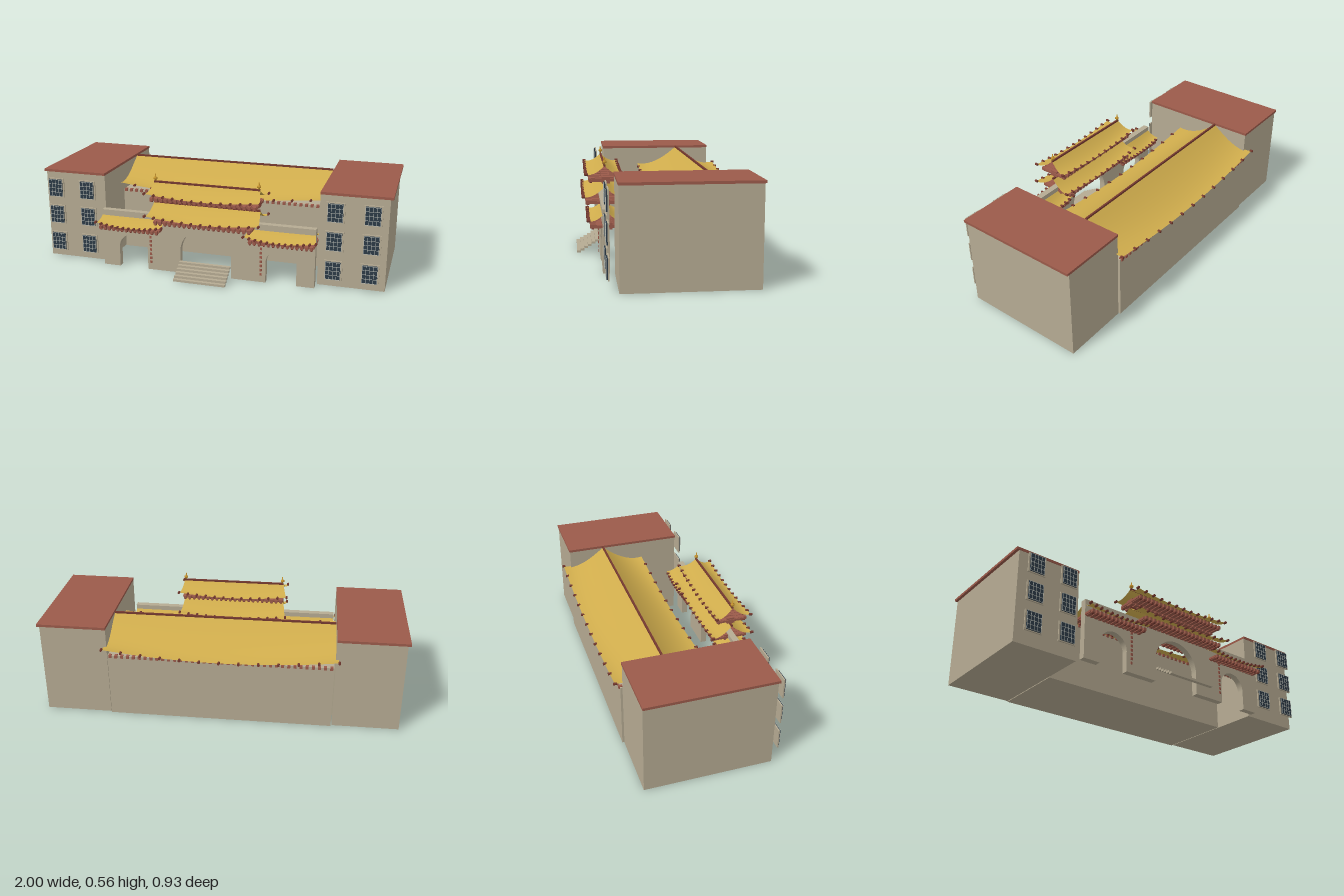
import * as THREE from 'three';

const mat = (color, side = THREE.FrontSide) => {
  const m = new THREE.MeshStandardMaterial({ color });
  m.side = side;
  return m;
};
const STONE = mat(0xb5aa92), BRICK = mat(0x9b5a4a), DARKRED = mat(0x74392f);
const GOLD = mat(0xcfac4c, THREE.DoubleSide), GILT = mat(0xc9962f);
const GLASS = mat(0x2c3a46), BAR = mat(0xb9bcb4);

function add(parent, name, geometry, material, x = 0, y = 0, z = 0) {
  const m = new THREE.Mesh(geometry, material);
  m.name = name;
  m.position.set(x, y, z);
  parent.add(m);
  return m;
}

// box given by its min and max corners
function box(parent, name, material, x0, x1, y0, y1, z0, z1) {
  return add(parent, name, new THREE.BoxGeometry(x1 - x0, y1 - y0, z1 - z0), material,
    (x0 + x1) / 2, (y0 + y1) / 2, (z0 + z1) / 2);
}

function group(parent, name, x = 0, y = 0, z = 0) {
  const g = new THREE.Group();
  g.name = name;
  g.position.set(x, y, z);
  parent.add(g);
  return g;
}

// sweeping gable roof around a ridge at the group's origin
function curvedRoof(parent, name, o) {
  const g = group(parent, name, o.x, o.y, o.z);
  const point = (u, t) => [
    u * (o.ridgeHalf + (o.eaveHalf - o.ridgeHalf) * t),
    -o.drop * (1 - (1 - t) ** 1.6) + o.lift * u * u * t * t,
    o.depth * t,
  ];
  for (const turn of [0, Math.PI]) {
    const half = group(g, turn ? 'backSlope' : 'frontSlope');
    half.rotation.y = turn;
    const geo = new THREE.PlaneGeometry(2, 1, 24, 10);
    const p = geo.attributes.position;
    for (let i = 0; i < p.count; i++) p.setXYZ(i, ...point(p.getX(i), 0.5 - p.getY(i)));
    geo.computeVertexNormals();
    add(half, 'roofTiles', geo, GOLD);
    // round tile ends along the eave
    const cap = new THREE.CylinderGeometry(0.007, 0.007, 0.018, 10).rotateX(Math.PI / 2);
    for (let i = 0; i < o.caps; i++) {
      const [x, y, z] = point(-1 + 2 * i / (o.caps - 1), 1);
      add(half, 'eaveCap', cap, DARKRED, x, y, z);
    }
  }
  const r = o.ridgeHalf;
  box(g, 'ridge', DARKRED, -r, r, -0.004, 0.006, -0.005, 0.005);
  return g;
}

// row of cross brackets beneath a gate roof
function bracketRow(parent, x, y, z, half, reach, count) {
  const g = group(parent, 'bracketRow', x, y, z);
  box(g, 'bracketBeam', BRICK, -half, half, -0.005, 0.007, -reach + 0.015, reach - 0.015);
  const step = 2 * half / count;
  for (let i = 0; i < count; i++) {
    const cx = -half + step * (i + 0.5), w = step * 0.3;
    box(g, 'bracketArm', BRICK, cx - w, cx + w, -0.009, 0.009, -reach, reach);
    box(g, 'bracketBlock', BRICK, cx - w * 1.3, cx + w * 1.3, -0.017, 0.017, -0.03, 0.015);
    for (const s of [-1, 1]) {
      box(g, 'bracketTip', DARKRED, cx - w * 0.6, cx + w * 0.6, -0.015, -0.009,
        s * (reach - 0.012) - 0.006, s * (reach - 0.012) + 0.006);
    }
  }
}

function windowUnit(parent, x, y) {
  const g = group(parent, 'window', x, y, 0.325);
  box(g, 'windowFrame', STONE, -0.05, 0.05, -0.056, 0.056, -0.007, 0);
  box(g, 'windowPane', GLASS, -0.041, 0.041, -0.05, 0.05, 0, 0.007);
  for (let i = 0; i < 5; i++) {
    const bx = -0.04 + 0.02 * i, by = -0.049 + 0.0245 * i;
    box(g, 'windowBar', BAR, bx - 0.001, bx + 0.001, -0.05, 0.05, 0.007, 0.0085);
    box(g, 'windowBar', BAR, -0.041, 0.041, by - 0.001, by + 0.001, 0.007, 0.0085);
  }
}

// outline of an arched doorway standing on the ground
function archLine(path, cx, r, spring) {
  path.lineTo(cx - r, 0);
  path.lineTo(cx - r, spring);
  path.absarc(cx, spring, r, Math.PI, 0, true);
  path.lineTo(cx + r, 0);
}

export function createModel() {
  const model = new THREE.Group();
  model.name = 'gatehouse';

  // side wings with flat roofs and windows
  for (const s of [-1, 1]) {
    const wing = group(model, s > 0 ? 'leftWing' : 'rightWing');
    add(wing, 'wingBlock', new THREE.BoxGeometry(0.365, 0.515, 0.685), STONE, s * 0.8025, 0.2575, -0.0675);
    add(wing, 'flatRoof', new THREE.BoxGeometry(0.38, 0.014, 0.692), BRICK, s * 0.81, 0.522, -0.0675);
    for (const x of [0.71, 0.905]) {
      for (const y of [0.11, 0.275, 0.435]) windowUnit(wing, s * x, y);
    }
  }

  // rear hall
  const hall = group(model, 'rearHall');
  box(hall, 'hallBlock', STONE, -0.615, 0.615, 0, 0.365, -0.42, 0.02);
  curvedRoof(hall, 'hallRoof', {
    x: 0, y: 0.522, z: -0.2, ridgeHalf: 0.615, eaveHalf: 0.638, depth: 0.253, drop: 0.148, lift: 0.042, caps: 13,
  });
  for (let i = 0; i < 38; i++) {
    const x = -0.6 + 1.2 * i / 37;
    for (const z of [-0.417, 0.017]) {
      add(hall, 'hallBracket', new THREE.BoxGeometry(0.016, 0.016, 0.02), BRICK, x, 0.362, z);
    }
  }

  // gate wall with three arches
  const gate = group(model, 'gate');
  const outline = new THREE.Shape();
  outline.moveTo(-0.615, 0);
  archLine(outline, -0.43, 0.086, 0.115);
  archLine(outline, 0, 0.148, 0.125);
  archLine(outline, 0.43, 0.086, 0.115);
  outline.lineTo(0.615, 0);
  outline.lineTo(0.615, 0.335);
  outline.lineTo(-0.615, 0.335);
  const wall = new THREE.ExtrudeGeometry(outline, { depth: 0.036, bevelEnabled: false, curveSegments: 24 });
  add(gate, 'gateWall', wall, STONE, 0, 0, 0.3);

  // gate roofs and their brackets
  curvedRoof(gate, 'topRoof', {
    x: 0, y: 0.518, z: 0.31, ridgeHalf: 0.302, eaveHalf: 0.326, depth: 0.1, drop: 0.066, lift: 0.022, caps: 13,
  });
  bracketRow(gate, 0, 0.438, 0.31, 0.305, 0.087, 22);
  curvedRoof(gate, 'middleRoof', {
    x: 0, y: 0.402, z: 0.31, ridgeHalf: 0.305, eaveHalf: 0.322, depth: 0.116, drop: 0.074, lift: 0.022, caps: 13,
  });
  bracketRow(gate, 0, 0.311, 0.31, 0.28, 0.104, 20);
  for (const s of [-1, 1]) {
    curvedRoof(gate, 'sideRoof', {
      x: s * 0.43, y: 0.325, z: 0.315, ridgeHalf: 0.18, eaveHalf: 0.197, depth: 0.09, drop: 0.068, lift: 0.022, caps: 13,
    });
    bracketRow(gate, s * 0.435, 0.246, 0.315, 0.18, 0.083, 14);

    // ridge finials
    const profile = [[0, 0], [0.005, 0], [0.004, 0.008], [0.011, 0.011], [0.011, 0.02], [0.004, 0.024], [0.003, 0.04], [0, 0.042]];
    add(gate, 'finial', new THREE.LatheGeometry(profile.map(([x, y]) => new THREE.Vector2(x, y)), 10),
      GILT, s * 0.295, 0.522, 0.31);

    // vertical rows of small red plaques
    for (let i = 0; i < 8; i++) {
      add(gate, 'wallPlaque', new THREE.BoxGeometry(0.012, 0.014, 0.004), BRICK, s * 0.32, 0.05 + 0.025 * i, 0.347);
    }
  }
  // gilt plaques below the middle eave
  for (let i = 0; i < 4; i++) {
    add(gate, 'giltPlaque', new THREE.BoxGeometry(0.024, 0.026, 0.003), GILT, -0.06 + 0.04 * i, 0.338, 0.355);
  }

  // open stair slabs
  const stairs = group(model, 'stairs');
  for (let i = 0; i < 6; i++) {
    const z = 0.465 - 0.0208 * i, y = 0.0125 * i;
    box(stairs, 'step', STONE, -0.148, 0.148, y, y + 0.0125, z - 0.0215, z);
  }
  return model;
}
